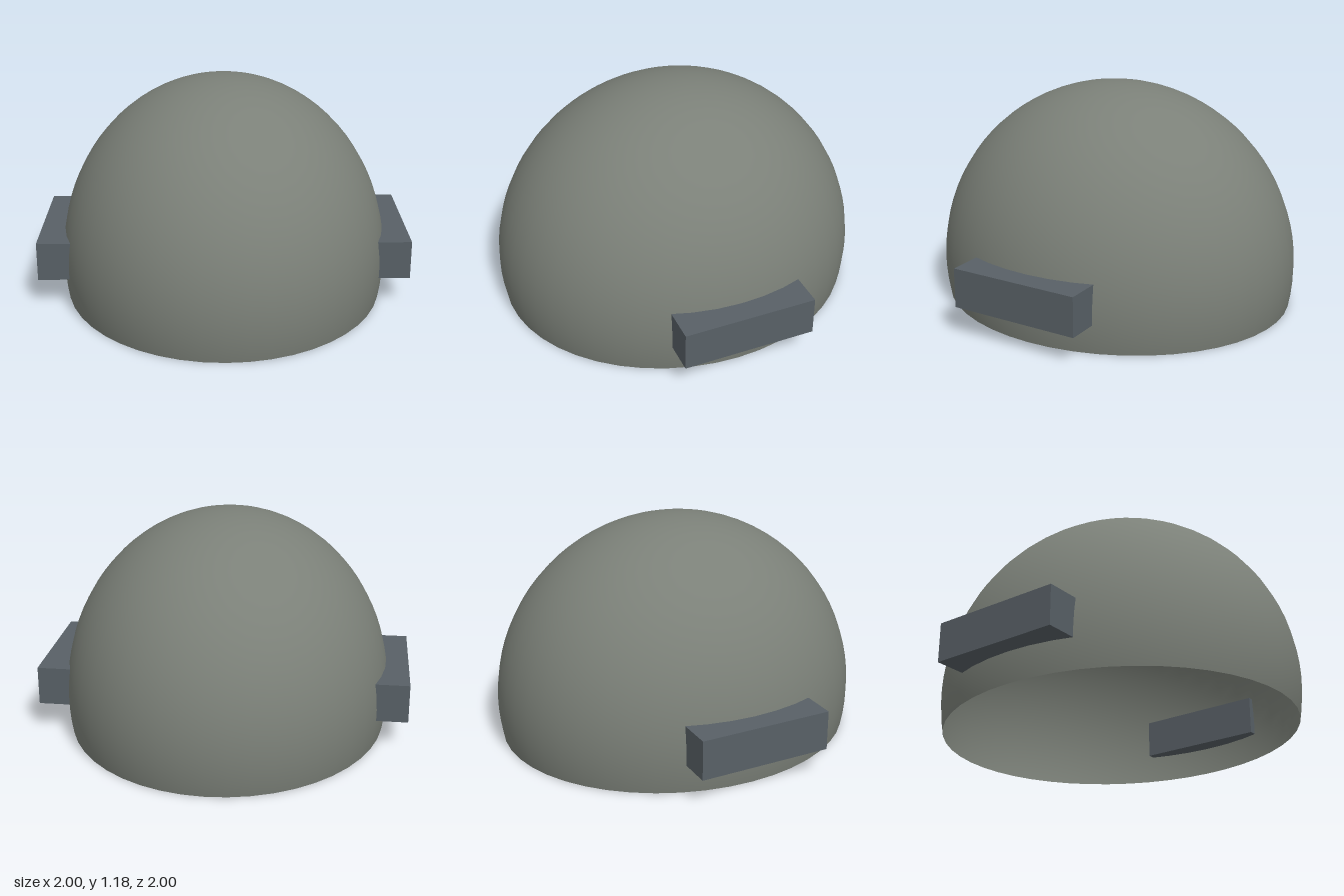
import * as THREE from 'three';

export function createModel() {
  const model = new THREE.Group();
  const shellPaint = new THREE.MeshStandardMaterial({ name: 'greyGreenShell', color: 0x7b8078, side: THREE.DoubleSide });
  const blockPaint = new THREE.MeshStandardMaterial({ name: 'slateBlock', color: 0x586066 });

  // Open dome: an ellipsoid cut off a little below its widest ring
  const centreY = 0.197, radiusY = 0.988;
  const cut = Math.acos(-centreY / radiusY);
  const domeGeometry = new THREE.SphereGeometry(1, 48, 24, 0, Math.PI * 2, 0, cut);
  domeGeometry.scale(0.893, radiusY, 1);
  const dome = new THREE.Mesh(domeGeometry, shellPaint);
  dome.name = 'domeShell';
  dome.position.y = centreY;
  model.add(dome);

  // Side blocks, passing through the shell so their inner faces show inside
  for (const side of [1, -1]) {
    const block = new THREE.Mesh(new THREE.BoxGeometry(0.21, 0.21, 0.714), blockPaint);
    block.name = side > 0 ? 'leftSideBlock' : 'rightSideBlock';
    block.position.set(side * 0.895, 0.264, 0);
    model.add(block);
  }
  return model;
}
